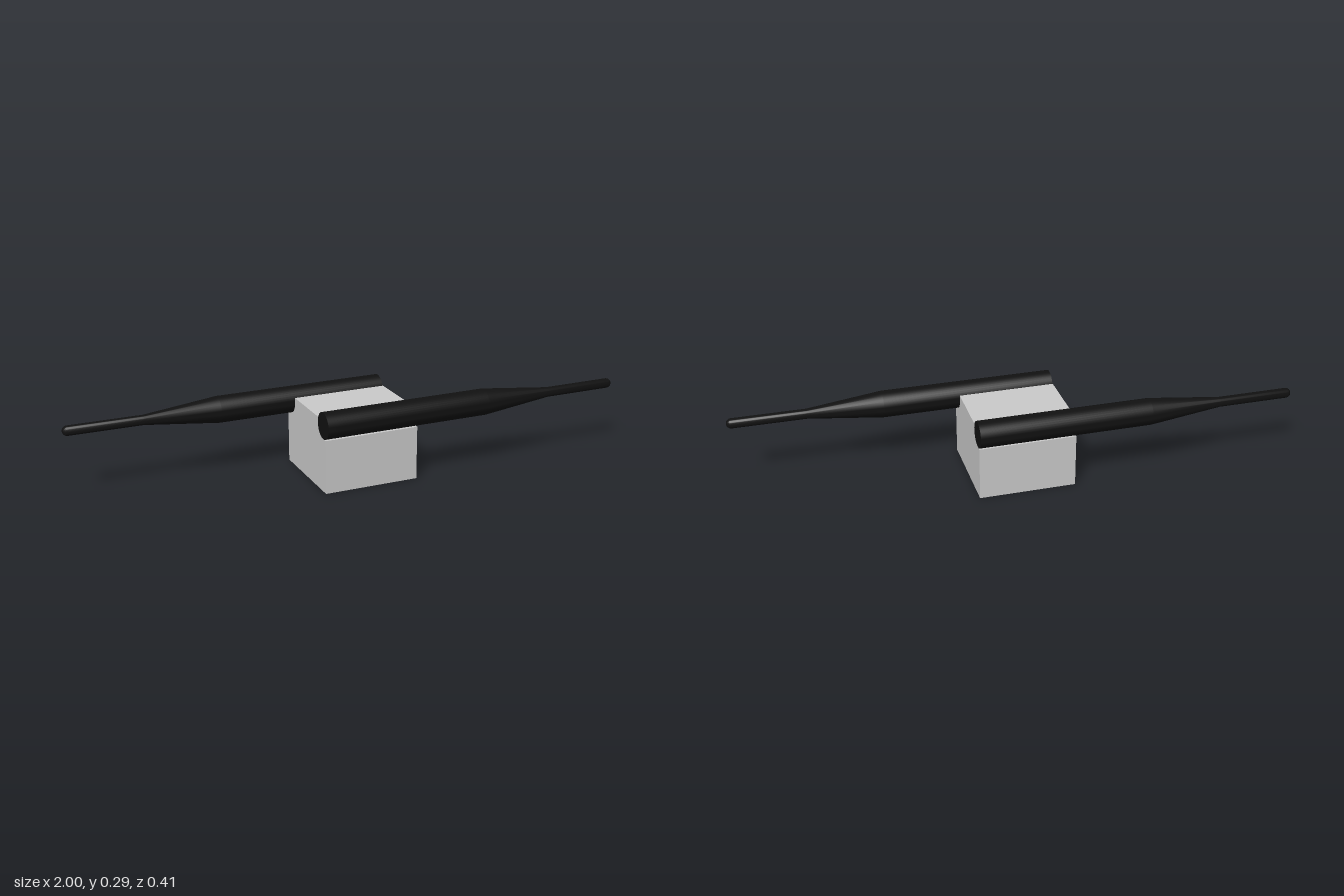
import * as THREE from 'three';
import { toCreasedNormals } from 'three/addons/utils/BufferGeometryUtils.js';

const HALF_X = 0.175;               // half width of the block
const ARM_Y = 0.244, ARM_Z = 0.155; // axis of the arms
const ARM_R = 0.048, TIP_R = 0.018;

// Block with a rounded groove along each upper edge to seat the arms
function createBlock() {
  const s = new THREE.Shape();
  s.moveTo(-0.176, 0);
  s.lineTo(0.176, 0);
  s.lineTo(0.176, ARM_Y - ARM_R);
  s.lineTo(ARM_Z, ARM_Y - ARM_R);
  s.absarc(ARM_Z, ARM_Y, ARM_R, -Math.PI / 2, -Math.PI, true);
  s.lineTo(ARM_Z - ARM_R, 0.263);
  s.lineTo(ARM_R - ARM_Z, 0.263);
  s.lineTo(ARM_R - ARM_Z, ARM_Y);
  s.absarc(-ARM_Z, ARM_Y, ARM_R, 0, -Math.PI / 2, true);
  s.lineTo(-0.176, ARM_Y - ARM_R);
  s.closePath();
  const g = new THREE.ExtrudeGeometry(s, { depth: HALF_X * 2, bevelEnabled: false, curveSegments: 12 });
  g.translate(0, 0, -HALF_X).rotateY(Math.PI / 2);
  const block = new THREE.Mesh(g, new THREE.MeshStandardMaterial({ color: 0xcccccc }));
  block.name = 'block';
  return block;
}

// Round arm: flat inner end, long taper, thin rod with a rounded tip
function createArmGeometry() {
  const profile = [[0, -HALF_X], [ARM_R, -HALF_X], [ARM_R, 0.45], [TIP_R, 0.72]]
    .map(([r, x]) => new THREE.Vector2(r, x));
  for (let i = 0; i <= 6; i++) {
    const a = (i / 6) * Math.PI / 2;
    profile.push(new THREE.Vector2(i === 6 ? 0 : TIP_R * Math.cos(a), 1 - TIP_R + TIP_R * Math.sin(a)));
  }
  return toCreasedNormals(new THREE.LatheGeometry(profile, 40).rotateZ(-Math.PI / 2), 0.6);
}

export function createModel() {
  const model = new THREE.Group();
  model.name = 'twinArmBlock';
  model.add(createBlock());

  // Two identical arms pointing in opposite directions
  const geometry = createArmGeometry();
  const material = new THREE.MeshStandardMaterial({ color: 0x111111 });
  for (const [name, z, turn] of [['frontArm', ARM_Z, 0], ['backArm', -ARM_Z, Math.PI]]) {
    const arm = new THREE.Mesh(geometry, material);
    arm.name = name;
    arm.position.set(0, ARM_Y, z);
    arm.rotation.y = turn;
    model.add(arm);
  }
  return model;
}
